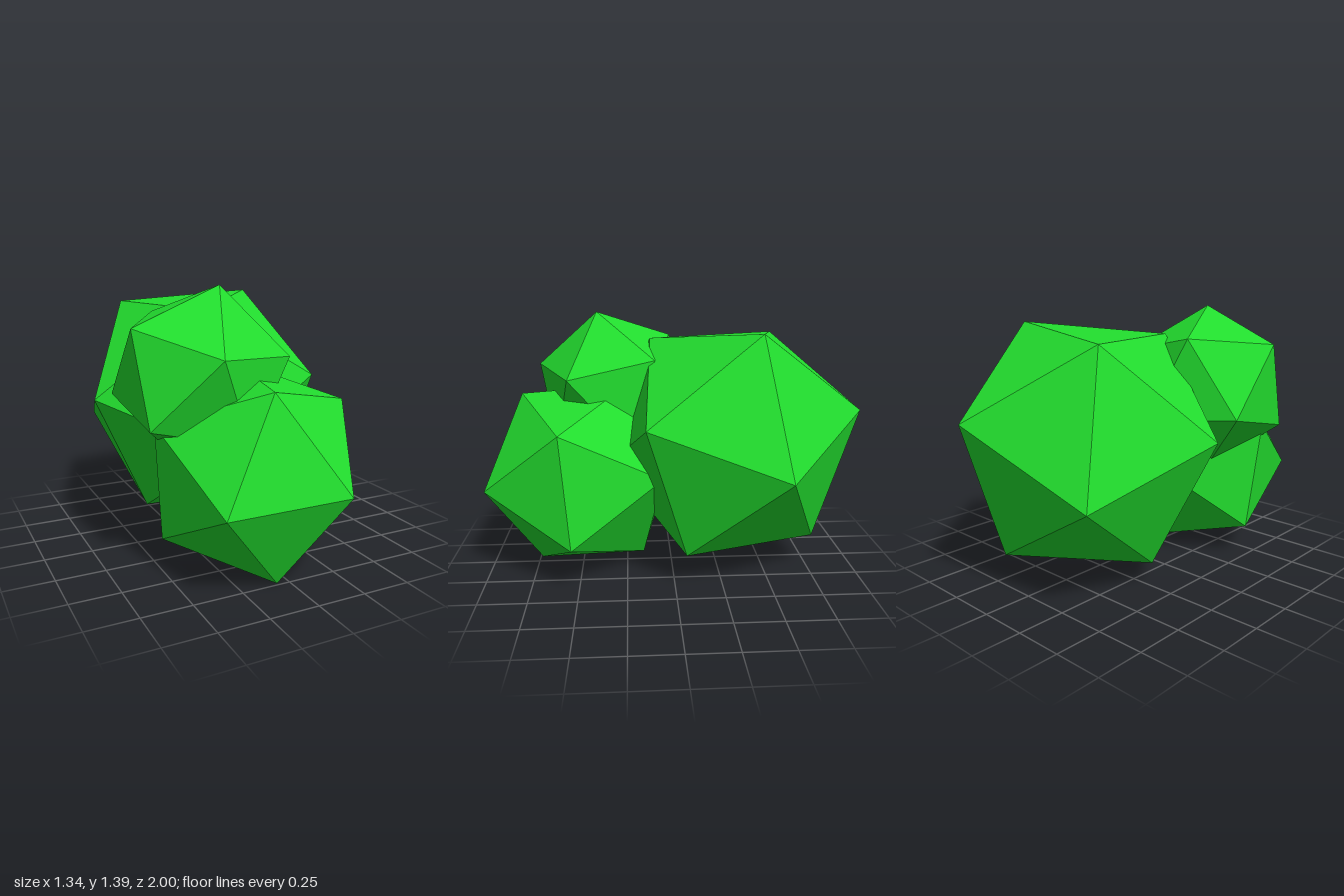
import * as THREE from 'three';

// Each clump is an icosahedron: centre, radius, and the directions of two neighbouring corners
const CLUMPS = [
  { name: 'largeRearClump', centre: [0, 0.72, -0.33], radius: 0.705,
    cornerA: [0.36, 0.60, -0.10], cornerB: [0.67, -0.065, -0.205] },
  { name: 'lowerFrontClump', centre: [-0.06, 0.507, 0.487], radius: 0.56,
    cornerA: [-0.08, 0.45, 0.333], cornerB: [0.225, -0.027, 0.508] },
  { name: 'smallTopClump', centre: [-0.27, 0.956, 0.313], radius: 0.449,
    cornerA: [0.07, 0.434, 0.087], cornerB: [-0.365, 0.249, 0.077] },
];

// Turns the icosahedron so its top edge runs from corner a to corner b
function edgeRotation(a, b) {
  const from = new THREE.Vector3(...a).normalize();
  const to = new THREE.Vector3(...b).normalize();
  const y = from.clone().add(to).normalize();
  const x = to.clone().sub(from).normalize();
  const z = new THREE.Vector3().crossVectors(x, y);
  return new THREE.Matrix4().makeBasis(x, y, z);
}

export function createModel() {
  const model = new THREE.Group();
  model.name = 'bush';
  const leaf = new THREE.MeshStandardMaterial({ color: 0x22dd2e, flatShading: true });

  for (const { name, centre, radius, cornerA, cornerB } of CLUMPS) {
    const clump = new THREE.Mesh(new THREE.IcosahedronGeometry(radius, 0), leaf);
    clump.name = name;
    clump.position.set(...centre);
    clump.quaternion.setFromRotationMatrix(edgeRotation(cornerA, cornerB));
    model.add(clump);
  }
  return model;
}
